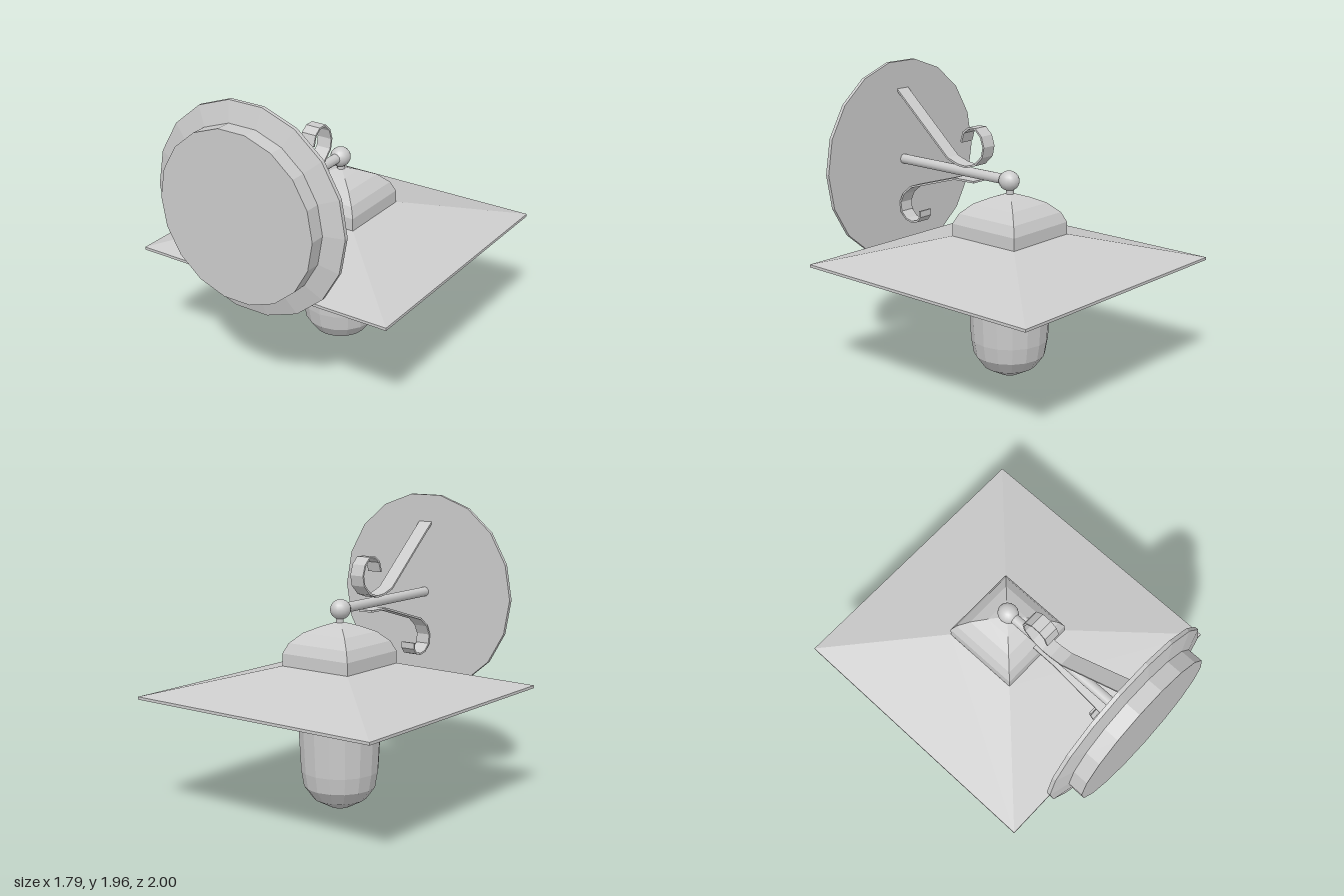
import * as THREE from 'three';

const V = (x, y) => new THREE.Vector2(x, y);
const points = (list) => list.map(([x, y]) => V(x, y));
const material = new THREE.MeshStandardMaterial({ color: 0xcccccc, flatShading: true, side: THREE.DoubleSide });
const smooth = new THREE.MeshStandardMaterial({ color: 0xcccccc });

const LAMP_Z = -0.105; // axis of the hanging lamp
const ARM_Y = 1.3;     // height of the arm and wall plate centre

function addPart(group, name, geometry, mat = material) {
  const mesh = new THREE.Mesh(geometry, mat);
  mesh.name = name;
  group.add(mesh);
  return mesh;
}

// Square-plan surface: a four-sided lathe whose radii are half widths
function squareLathe(profile) {
  return new THREE.LatheGeometry(points(profile.map(([h, y]) => [h * Math.SQRT2, y])), 4)
    .rotateY(Math.PI / 4);
}

// Flat metal strip of constant thickness following a (z, y) path
function stripGeometry(path, width, thickness) {
  const p = points(path);
  const sides = [[], []];
  p.forEach((q, i) => {
    const a = p[Math.max(i - 1, 0)], b = p[Math.min(i + 1, p.length - 1)];
    const t = b.clone().sub(a).normalize();
    const n = V(-t.y, t.x).multiplyScalar(thickness / 2);
    sides[0].push(q.clone().add(n));
    sides[1].unshift(q.clone().sub(n));
  });
  return new THREE.ExtrudeGeometry(new THREE.Shape([...sides[0], ...sides[1]]), { depth: width, bevelEnabled: false })
    .translate(0, 0, -width / 2)
    .rotateY(-Math.PI / 2);
}

export function createModel() {
  const group = new THREE.Group();

  // Round wall plate with a chamfered flange
  const plate = new THREE.LatheGeometry(points([
    [0, 0.84], [0.67, 0.84], [0.67, 0.865], [0.542, 0.9], [0.542, 1], [0, 1],
  ]), 18);
  plate.rotateX(Math.PI / 2).rotateZ(Math.PI / 2).translate(0, ARM_Y, 0);
  addPart(group, 'wallPlate', plate);

  // Arm with a ball end and a short stem down to the cap
  addPart(group, 'arm', new THREE.CylinderGeometry(0.033, 0.033, 0.89, 12)
    .rotateX(Math.PI / 2).translate(0, ARM_Y, 0.405), smooth);
  addPart(group, 'armBall', new THREE.SphereGeometry(0.064, 16, 12)
    .scale(1, 1, 1.08).translate(0, ARM_Y - 0.003, -0.097), smooth);
  addPart(group, 'stem', new THREE.CylinderGeometry(0.025, 0.025, 0.08, 12)
    .translate(0, 1.225, LAMP_Z), smooth);

  // Scrolled brackets above and below the arm
  addPart(group, 'upperScroll', stripGeometry([
    [0.845, 1.775], [0.39, 1.378], [0.3, 1.348], [0.23, 1.342], [0.15, 1.367], [0.09, 1.426],
    [0.076, 1.49], [0.097, 1.555], [0.145, 1.599], [0.203, 1.597], [0.246, 1.566], [0.267, 1.5],
  ], 0.1, 0.013));
  addPart(group, 'lowerScroll', stripGeometry([
    [0.16, 1.253], [0.33, 1.25], [0.73, 1.13], [0.8, 1.075], [0.832, 1.01], [0.825, 0.945],
    [0.78, 0.9], [0.727, 0.888], [0.675, 0.902], [0.65, 0.935], [0.65, 0.975],
  ], 0.1, 0.013));

  // Square domed cap
  const cap = addPart(group, 'cap', squareLathe([
    [0.258, 0.94], [0.257, 1.025], [0.228, 1.09], [0.165, 1.153], [0.085, 1.193], [0.025, 1.215], [0, 1.215],
  ]));

  // Wide square shade: a thin sloping shell, open in the middle
  const shade = addPart(group, 'shade', squareLathe([
    [0.255, 0.925], [0.893, 0.755], [0.893, 0.773], [0.258, 0.945], [0.255, 0.925],
  ]));
  shade.scale.x = 1.005;
  cap.position.z = shade.position.z = LAMP_Z;

  // Bell-shaped glass, closed at the top
  addPart(group, 'glass', new THREE.LatheGeometry(points([
    [0, 0], [0.065, 0.015], [0.172, 0.073], [0.232, 0.155], [0.25, 0.26], [0.276, 0.75], [0.278, 0.885], [0, 0.885],
  ]), 16)).position.z = LAMP_Z;

  return group;
}
